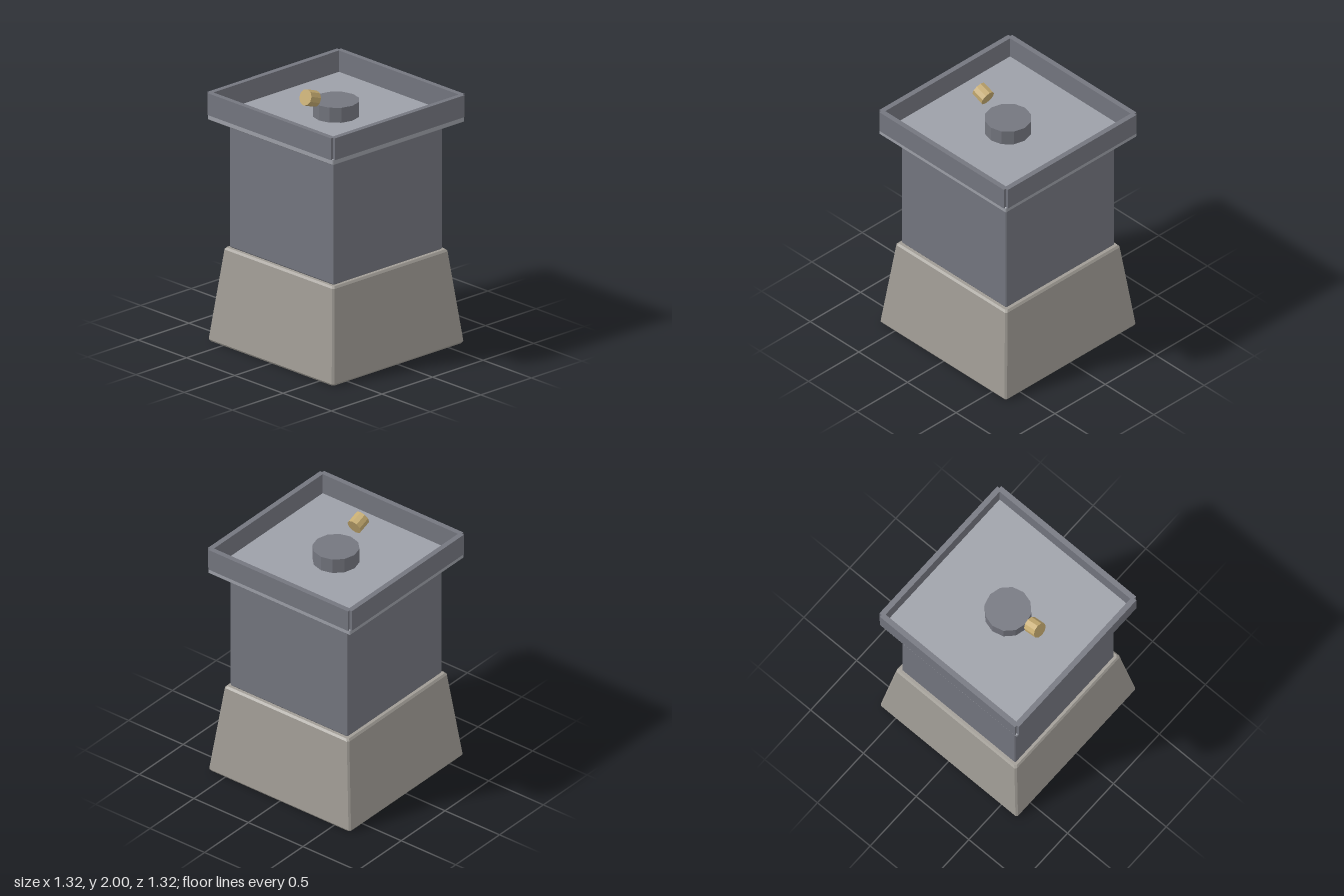
import * as THREE from 'three';
import { ConvexGeometry } from 'three/addons/geometries/ConvexGeometry.js';

const material = (color) => new THREE.MeshStandardMaterial({ color, flatShading: true });

// Square block with chamfered corners; sections are [y, half width] pairs.
function chamferedBlock(sections, chamfer) {
  const points = [];
  for (const [y, h] of sections) {
    const c = h - chamfer;
    for (const sx of [-1, 1]) for (const sz of [-1, 1]) {
      points.push(new THREE.Vector3(sx * h, y, sz * c), new THREE.Vector3(sx * c, y, sz * h));
    }
  }
  return new ConvexGeometry(points);
}

export function createModel() {
  const model = new THREE.Group();
  model.name = 'pedestal';

  const stone = material(0xa09c95);
  const slate = material(0x74767f);
  const paleSlate = material(0x9da0a8);
  const brass = material(0xc4aa70);

  function add(name, geometry, mat, x = 0, y = 0, z = 0, parent = model) {
    const mesh = new THREE.Mesh(geometry, mat);
    mesh.name = name;
    mesh.position.set(x, y, z);
    parent.add(mesh);
    return mesh;
  }

  // Tapered plinth
  add('base', chamferedBlock([[0, 0.64], [0.015, 0.65], [0.7, 0.57], [0.715, 0.557]], 0.013), stone);

  // Upright column
  add('column', chamferedBlock([[0.713, 0.53], [0.723, 0.538], [1.7, 0.538]], 0.006), slate);

  // Tray floor
  add('trayFloor', chamferedBlock([[1.688, 0.646], [1.693, 0.651], [1.728, 0.651], [1.733, 0.646]], 0.005), paleSlate);

  // Four rim walls, leaving small notches at the corners
  const rim = new THREE.Group();
  rim.name = 'trayRim';
  model.add(rim);
  ['front', 'left', 'back', 'right'].forEach((side, i) => {
    const a = (i * Math.PI) / 2;
    const wall = add(`${side}Rim`, new THREE.BoxGeometry(1.28, 0.167, 0.04), slate,
      Math.sin(a) * 0.64, 1.8115, Math.cos(a) * 0.64, rim);
    wall.rotation.y = a;
  });

  // Round boss in the middle of the tray
  add('boss', new THREE.CylinderGeometry(0.17, 0.17, 0.12, 12), slate, 0, 1.787, 0);

  // Tilted brass knob in front of the boss
  const knob = add('knob', new THREE.CylinderGeometry(0.06, 0.06, 0.1, 10), brass, 0, 1.926, 0.255);
  knob.rotation.x = THREE.MathUtils.degToRad(70);

  return model;
}
